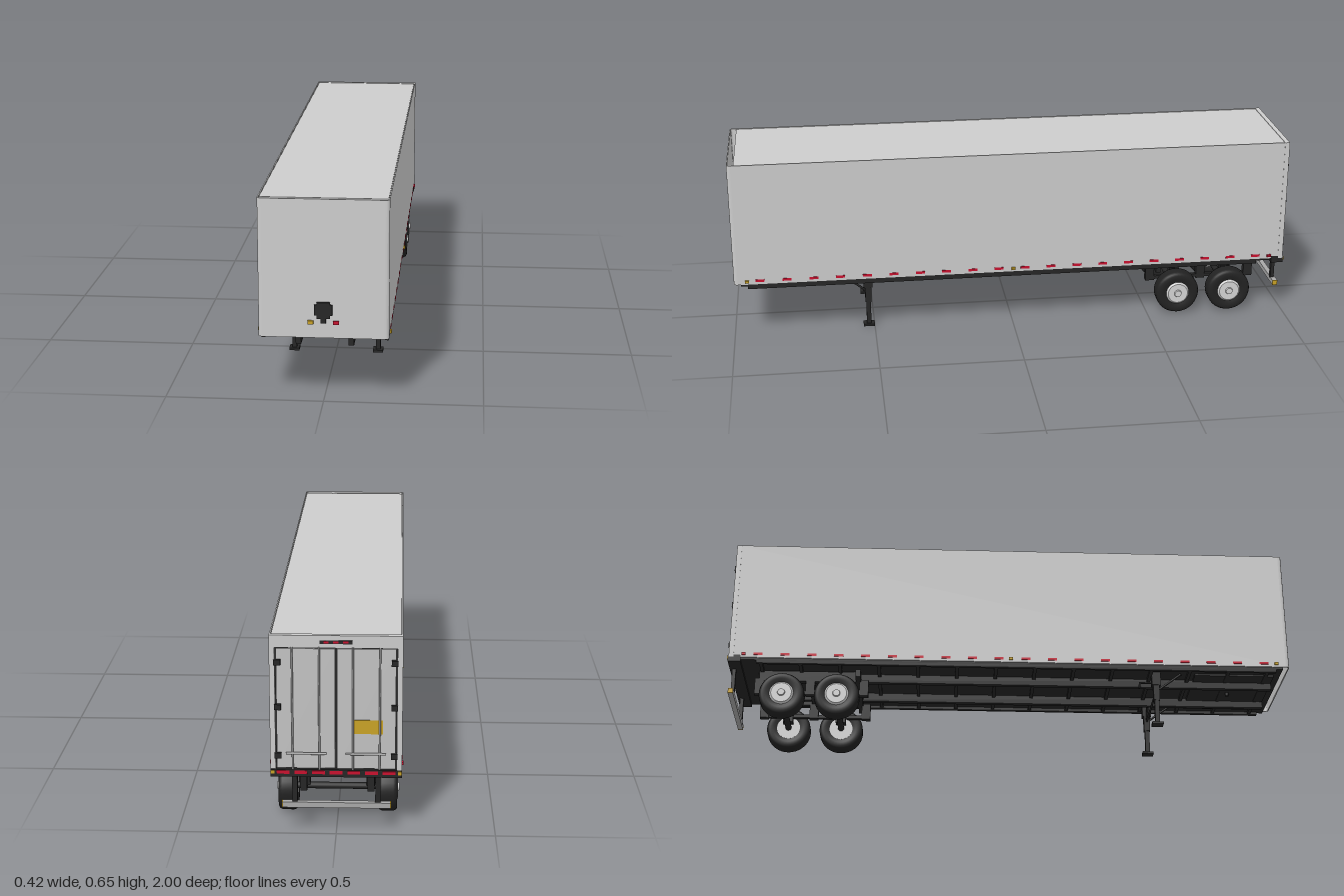
import * as THREE from 'three';

const mat = (name, color) => {
  const m = new THREE.MeshStandardMaterial({ color });
  m.name = name;
  return m;
};

export function createModel() {
  const panel = mat('panelGrey', 0xcccccc);
  const door = mat('doorGrey', 0xc2c2c2);
  const steel = mat('steelGrey', 0xa8a8a8);
  const frame = mat('frameBlack', 0x262626);
  const rubber = mat('tyreBlack', 0x222222);
  const hubGrey = mat('hubGrey', 0xd4d4d4);
  const red = mat('red', 0xc8102e);
  const amber = mat('amber', 0xc9a227);

  const model = new THREE.Group();
  model.name = 'boxTrailer';

  const add = (name, geo, material, x = 0, y = 0, z = 0) => {
    const mesh = new THREE.Mesh(geo, material);
    mesh.name = name;
    mesh.position.set(x, y, z);
    model.add(mesh);
    return mesh;
  };
  // Box given by its extents on each axis
  const box = (name, m, x0, x1, y0, y1, z0, z1) =>
    add(name, new THREE.BoxGeometry(x1 - x0, y1 - y0, z1 - z0), m, (x0 + x1) / 2, (y0 + y1) / 2, (z0 + z1) / 2);
  // Same box on both sides of x = 0
  const pair = (name, m, x0, x1, ...rest) => {
    box(name, m, x0, x1, ...rest);
    box(name, m, -x1, -x0, ...rest);
  };
  // Round bar between two points
  const bar = (name, m, a, b, r, sides = 10) => {
    const p = new THREE.Vector3(...a), q = new THREE.Vector3(...b);
    const mesh = add(name, new THREE.CylinderGeometry(r, r, p.distanceTo(q), sides), m);
    mesh.position.copy(p).add(q).multiplyScalar(0.5);
    mesh.quaternion.setFromUnitVectors(new THREE.Vector3(0, 1, 0), q.sub(p).normalize());
  };

  // Side and nose walls: one U-shaped wall with rounded front corners
  const W = 0.204, F = 0.992, B = -0.985, R = 0.014, T = 0.004;
  const u = new THREE.Shape();
  u.moveTo(W, -B);
  u.lineTo(W, -F + R);
  u.quadraticCurveTo(W, -F, W - R, -F);
  u.lineTo(-W + R, -F);
  u.quadraticCurveTo(-W, -F, -W, -F + R);
  u.lineTo(-W, -B);
  u.lineTo(-W + T, -B);
  u.lineTo(-W + T, -F + R);
  u.quadraticCurveTo(-W + T, -F + T, -W + R, -F + T);
  u.lineTo(W - R, -F + T);
  u.quadraticCurveTo(W - T, -F + T, W - T, -F + R);
  u.lineTo(W - T, -B);
  u.closePath();
  const wall = new THREE.ExtrudeGeometry(u, { depth: 0.445, bevelEnabled: false, curveSegments: 6 });
  wall.rotateX(-Math.PI / 2);
  add('walls', wall, panel, 0, 0.207, 0);
  box('roof', panel, -0.199, 0.199, 0.643, 0.65, -0.975, 0.968);
  box('floor', frame, -0.2, 0.2, 0.199, 0.208, -0.985, 0.968);

  // Side marker strips and lamps
  for (let i = 0; i < 20; i++) {
    const z = 0.9 - i * 0.0942;
    pair('sideReflector', red, W, W + 0.0015, 0.216, 0.225, z - 0.016, z + 0.016);
  }
  for (const [z, m] of [[0.945, amber], [0, amber], [-0.94, red]])
    pair('sideLamp', m, W, 0.21, 0.214, 0.223, z - 0.007, z + 0.007);

  // Nose connection box and lamps
  box('connectorBox', frame, -0.028, 0.028, 0.282, 0.316, F, 0.998);
  box('connectorBoxCentre', frame, -0.021, 0.021, 0.272, 0.324, F, 1.0);
  box('connectorSocket', frame, -0.008, 0.008, 0.257, 0.272, F, 1.0);
  box('noseLampAmber', amber, -0.049, -0.031, 0.253, 0.264, F, 0.999);
  box('noseLampRed', red, 0.031, 0.049, 0.253, 0.264, F, 0.999);

  // Rear frame
  pair('rearPost', panel, 0.188, 0.205, 0.207, 0.652, -0.992, -0.975);
  box('rearHeader', panel, -0.19, 0.19, 0.612, 0.652, -0.992, -0.975);
  box('rearSill', frame, -0.205, 0.205, 0.19, 0.215, -0.994, -0.95);
  box('headerLampBase', frame, -0.05, 0.05, 0.626, 0.637, -0.995, -0.992);
  for (const x of [-0.03, 0, 0.03])
    box('headerLamp', red, x - 0.008, x + 0.008, 0.629, 0.635, -0.997, -0.995);
  for (let i = 0; i < 7; i++) {
    const x = -0.165 + i * 0.055;
    box('sillReflector', red, x - 0.02, x + 0.02, 0.2, 0.211, -0.996, -0.994);
  }
  pair('sillLamp', amber, 0.192, 0.204, 0.2, 0.211, -0.997, -0.994);

  // Doors with hinges, lock rods and handles
  box('doorSeal', frame, -0.188, 0.188, 0.213, 0.612, -0.982, -0.976);
  pair('rearDoor', door, 0.003, 0.184, 0.217, 0.608, -0.987, -0.98);
  for (const y of [0.26, 0.42, 0.565])
    pair('hinge', frame, 0.17, 0.191, y - 0.009, y + 0.009, -0.997, -0.985);
  for (const s of [-1, 1]) {
    for (const x of [0.052, 0.135])
      bar('lockRod', steel, [s * x, 0.213, -0.991], [s * x, 0.615, -0.991], 0.003, 8);
    bar('doorHandle', steel, [s * 0.03, 0.268, -0.994], [s * 0.155, 0.268, -0.994], 0.004, 8);
  }
  box('doorPlacard', amber, -0.145, -0.055, 0.333, 0.378, -0.99, -0.987);

  // Rear underride guard
  box('guardBar', steel, -0.168, 0.168, 0.084, 0.102, -0.99, -0.972);
  pair('guardEnd', amber, 0.168, 0.171, 0.084, 0.102, -0.99, -0.972);
  pair('guardPost', frame, 0.122, 0.138, 0.09, 0.2, -0.985, -0.972);

  // Chassis rails, crossmembers and kingpin
  pair('chassisRail', frame, 0.075, 0.092, 0.168, 0.2, -0.895, 0.944);
  pair('bottomSideRail', frame, 0.188, 0.2, 0.188, 0.2, -0.895, 0.944);
  for (let i = 0; i < 14; i++) {
    const z = -0.88 + i * 0.138;
    box('crossmember', frame, -0.188, 0.188, 0.19, 0.2, z - 0.006, z + 0.006);
  }
  box('couplerPlate', frame, -0.15, 0.15, 0.192, 0.2, 0.66, 0.944);
  add('kingpin', new THREE.CylinderGeometry(0.007, 0.007, 0.02, 12), frame, 0, 0.19, 0.8);

  // Landing gear
  const LZ = 0.52;
  pair('legMount', frame, 0.13, 0.157, 0.15, 0.2, LZ - 0.016, LZ + 0.016);
  pair('legUpper', frame, 0.132, 0.154, 0.093, 0.2, LZ - 0.011, LZ + 0.011);
  pair('legLower', frame, 0.135, 0.151, 0.008, 0.094, LZ - 0.008, LZ + 0.008);
  pair('legFoot', frame, 0.126, 0.16, 0, 0.008, LZ - 0.02, LZ + 0.02);
  bar('legCrossBar', frame, [-0.14, 0.131, LZ], [0.14, 0.131, LZ], 0.004);
  for (const s of [-1, 1]) {
    bar('legSideBrace', frame, [s * 0.138, 0.13, LZ], [s * 0.088, 0.198, LZ], 0.004);
    bar('legFrontBrace', frame, [s * 0.143, 0.13, LZ], [s * 0.143, 0.198, 0.61], 0.004);
  }
  bar('crankShaft', frame, [-0.143, 0.162, LZ], [-0.143, 0.162, 0.462], 0.003, 8);
  bar('crankHandle', frame, [-0.143, 0.164, 0.462], [-0.143, 0.142, 0.46], 0.003, 8);

  // Sliding bogie and suspension
  pair('bogieRail', frame, 0.096, 0.118, 0.157, 0.195, -0.89, -0.53);
  for (const z of [-0.55, -0.705, -0.87])
    box('bogieCrossmember', frame, -0.118, 0.118, 0.16, 0.184, z - 0.012, z + 0.012);
  box('bogieFrontBeam', frame, -0.168, 0.168, 0.157, 0.183, -0.548, -0.53);
  for (const z of [-0.515, -0.705, -0.885])
    pair('springHanger', frame, 0.096, 0.118, 0.105, 0.165, z - 0.02, z + 0.012);
  pair('leafSpring', frame, 0.1, 0.114, 0.108, 0.12, -0.885, -0.53);

  // Axles and wheels
  const tyreProfile = [
    [0.04, -0.026], [0.055, -0.031], [0.068, -0.031], [0.075, -0.027], [0.079, -0.018],
    [0.079, 0.018], [0.075, 0.027], [0.068, 0.031], [0.055, 0.031], [0.04, 0.026],
  ].map(p => new THREE.Vector2(...p));
  const tyreGeo = new THREE.LatheGeometry(tyreProfile, 36).rotateZ(-Math.PI / 2);
  const rimGeo = new THREE.CylinderGeometry(0.042, 0.042, 0.054, 28).rotateZ(-Math.PI / 2);
  const faceGeo = new THREE.CylinderGeometry(0.036, 0.042, 0.006, 28).rotateZ(-Math.PI / 2);
  const capGeo = new THREE.CylinderGeometry(0.012, 0.014, 0.006, 16).rotateZ(-Math.PI / 2);
  for (const z of [-0.61, -0.802]) {
    bar('axle', frame, [-0.135, 0.081, z], [0.135, 0.081, z], 0.011, 14);
    for (const s of [-1, 1]) {
      const parts = [['tyre', tyreGeo, rubber, 0.16], ['rim', rimGeo, hubGrey, 0.16],
        ['hubFace', faceGeo, hubGrey, 0.19], ['hubCap', capGeo, hubGrey, 0.195]];
      for (const [name, geo, m, x] of parts) {
        const mesh = add(name, geo, m, s * x, 0.08, z);
        if (s < 0) mesh.rotation.y = Math.PI;
      }
      box('brakeChamber', frame, s * 0.105 - 0.014, s * 0.105 + 0.014, 0.088, 0.15, z - 0.018, z + 0.018);
    }
  }

  return model;
}
